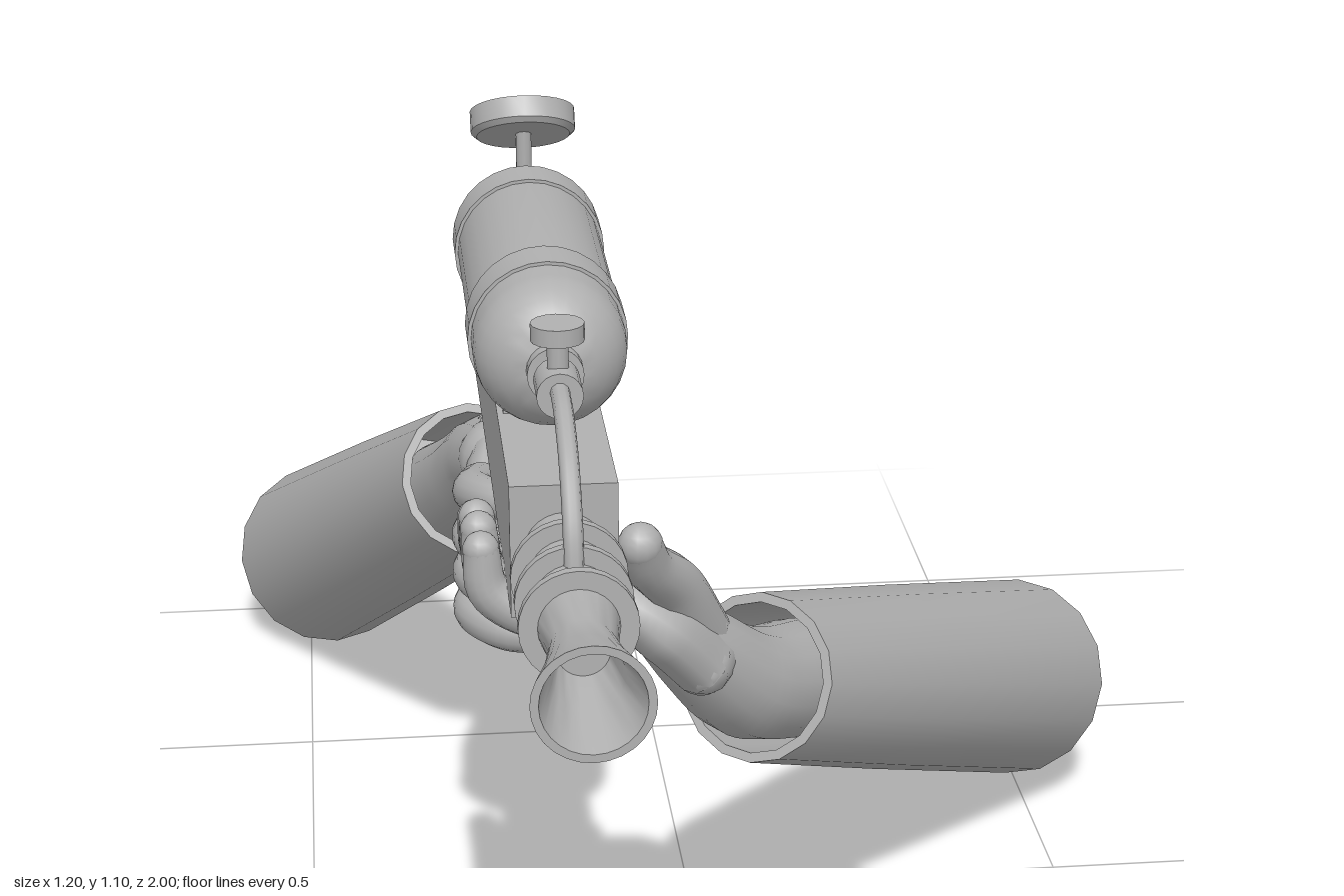
import * as THREE from 'three';
import { mergeGeometries, mergeVertices, toCreasedNormals } from 'three/addons/utils/BufferGeometryUtils.js';

const GUN_X = -0.2;
const V = (x, y, z) => new THREE.Vector3(x, y, z);

export function createModel() {
  const grey = new THREE.MeshStandardMaterial({ color: 0xb0b0b0 });
  grey.name = 'grey';
  const model = new THREE.Group();
  model.name = 'handsHoldingBlaster';

  const group = (name) => {
    const g = new THREE.Group();
    g.name = name;
    model.add(g);
    return g;
  };
  const add = (parent, name, geo, x = 0, y = 0, z = 0) => {
    const m = new THREE.Mesh(geo, grey);
    m.name = name;
    m.position.set(x, y, z);
    parent.add(m);
    return m;
  };
  const lathe = (profile, sides) => toCreasedNormals(
    new THREE.LatheGeometry(profile.map(([r, h]) => new THREE.Vector2(r, h)), sides), 0.6);
  // turned part running along z
  const turned = (profile, sides = 28) => lathe(profile, sides).rotateX(Math.PI / 2);
  const box = (w, h, d) => new THREE.BoxGeometry(w, h, d);
  // side profile in (z, y), extruded across x
  const sideExtrude = (pts, width, bevel) => new THREE.ExtrudeGeometry(
    new THREE.Shape(pts.map(([z, y]) => new THREE.Vector2(z, y))),
    { depth: width - 2 * bevel, bevelSize: bevel, bevelThickness: bevel, bevelOffset: -bevel, bevelSegments: 2 },
  ).translate(0, 0, bevel - width / 2).rotateY(-Math.PI / 2);
  const tube = (pts, r, n = 24) => new THREE.TubeGeometry(
    new THREE.CatmullRomCurve3(pts.map(([z, y]) => V(0, y, z))), n, r, 10);

  // tapered round-ended limb through [x, y, z, radius] points, stretched along one direction
  const limb = (parent, name, pts, dir = null, stretch = 1) => {
    const curve = new THREE.CatmullRomCurve3(pts.map((p) => V(p[0], p[1], p[2])));
    const steps = pts.length * 5, sides = 14;
    const radius = (u) => {
      const f = curve.getUtoTmapping(u) * (pts.length - 1);
      const i = Math.min(Math.floor(f), pts.length - 2);
      return THREE.MathUtils.lerp(pts[i][3], pts[i + 1][3], f - i);
    };
    const pull = (o) => (dir ? o.addScaledVector(dir, o.dot(dir) * (stretch - 1)) : o);
    const shape = (geo, centre, size) => {
      const pos = geo.attributes.position;
      for (let k = 0; k < pos.count; k++) {
        const c = centre(k);
        const o = pull(V(0, 0, 0).fromBufferAttribute(pos, k).sub(c).multiplyScalar(size(k)));
        pos.setXYZ(k, c.x + o.x, c.y + o.y, c.z + o.z);
      }
      geo.deleteAttribute('normal');
      geo.deleteAttribute('uv');
      const out = mergeVertices(geo, 1e-5);
      out.computeVertexNormals();
      return out;
    };
    const u = (k) => Math.floor(k / (sides + 1)) / steps;
    const skin = shape(new THREE.TubeGeometry(curve, steps, 1, sides),
      (k) => curve.getPointAt(u(k)), (k) => radius(u(k)));
    const ends = [0, 1].map((e) => {
      const c = curve.getPointAt(e);
      return shape(new THREE.SphereGeometry(1, 14, 10).translate(c.x, c.y, c.z), () => c, () => radius(e));
    });
    return add(parent, name, mergeGeometries([skin, ...ends]));
  };

  // sleeve: open cuff at the wrist, closed flat end
  const sleeve = (parent, from, to, r0, r1) => {
    const axis = to.clone().sub(from);
    const len = axis.length();
    const m = add(parent, 'sleeve', lathe([
      [0, 0.25], [r0 - 0.008, 0.25], [r0 - 0.012, 0], [r0, 0],
      [r0 + (r1 - r0) * 0.5, len * 0.45], [r1, len], [0, len]], 16), from.x, from.y, from.z);
    m.quaternion.setFromUnitVectors(V(0, 1, 0), axis.normalize());
  };

  // receiver and barrel
  const gun = group('blaster');
  gun.position.x = GUN_X;
  add(gun, 'receiver', box(0.12, 0.155, 0.82), 0, 0.748, 0.19);
  add(gun, 'rearCap', sideExtrude([[-0.215, 0.685], [-0.215, 0.815], [-0.28, 0.815], [-0.28, 0.685]], 0.106, 0.012));
  add(gun, 'barrel', turned([[0, 0.59], [0.045, 0.59], [0.045, 0.8], [0.036, 0.87], [0.046, 0.93],
    [0.064, 1], [0.055, 1], [0.038, 0.93], [0.028, 0.87], [0, 0.87]]), 0, 0.748, 0);
  for (const z of [0.67, 0.74, 0.805]) {
    add(gun, 'barrelRing', turned([[0.03, -0.006], [0.064, -0.006], [0.064, 0.006], [0.03, 0.006]]), 0, 0.748, z);
  }

  // gas tank with straps
  const tankY = 0.915;
  const tankProfile = [];
  for (let i = 0; i <= 8; i++) {
    const a = (i / 8) * Math.PI / 2;
    tankProfile.push([0.088 * Math.sin(a), 0.08 * (1 - Math.cos(a)) - 0.08]);
  }
  for (let i = 8; i >= 0; i--) {
    const a = (i / 8) * Math.PI / 2;
    tankProfile.push([0.088 * Math.sin(a), 0.485 - 0.08 * (1 - Math.cos(a))]);
  }
  add(gun, 'tank', turned(tankProfile), 0, tankY, 0);
  for (const z of [0.34, 0.01]) {
    add(gun, 'strap', turned([[0.08, -0.03], [0.092, -0.03], [0.092, 0.03], [0.08, 0.03]]), 0, tankY, z);
    add(gun, 'strapFoot', box(0.106, 0.05, 0.06), 0, 0.845, z);
  }

  // valve, knob and hose
  add(gun, 'valveNeck', turned([[0, 0.47], [0.032, 0.47], [0.032, 0.497], [0.02, 0.497], [0.02, 0.51],
    [0.026, 0.51], [0.026, 0.565], [0, 0.565]], 20), 0, tankY, 0);
  add(gun, 'valveStem', new THREE.CylinderGeometry(0.012, 0.012, 0.07, 12), 0, 0.95, 0.535);
  add(gun, 'valveKnob', new THREE.CylinderGeometry(0.03, 0.03, 0.02, 16), 0, 0.98, 0.535);
  add(gun, 'hose', tube([[0.56, 0.92], [0.62, 0.915], [0.69, 0.885], [0.735, 0.83], [0.75, 0.77]], 0.011));

  // tilted gauge on a stem
  add(gun, 'gaugeStem', new THREE.CylinderGeometry(0.01, 0.01, 0.07, 10), 0, 1.015, -0.05);
  const gauge = add(gun, 'gauge', lathe([[0, -0.016], [0.058, -0.016], [0.065, -0.01], [0.065, 0.016],
    [0.057, 0.016], [0.055, 0.01], [0, 0.01]], 28), 0, 1.05, -0.062);
  gauge.rotation.x = -0.55;

  // grip, trigger and guard
  add(gun, 'grip', sideExtrude([[0.09, 0.68], [0.075, 0.46], [0.065, 0.43], [-0.055, 0.4], [-0.07, 0.42], [-0.045, 0.68]], 0.08, 0.012));
  add(gun, 'triggerGuard', tube([[0.2, 0.675], [0.195, 0.62], [0.16, 0.577], [0.11, 0.568], [0.06, 0.58]], 0.01));
  add(gun, 'trigger', tube([[0.125, 0.68], [0.12, 0.64], [0.135, 0.605]], 0.009, 10));

  // left arm supporting the receiver from below
  const leftArm = group('leftArm');
  sleeve(leftArm, V(0.05, 0.45, 0.31), V(0.49, 0.165, -0.27), 0.104, 0.137);
  limb(leftArm, 'wrist', [[0.11, 0.41, 0.23, 0.075], [0.03, 0.46, 0.34, 0.068], [-0.03, 0.53, 0.4, 0.056], [-0.07, 0.58, 0.43, 0.046]]);
  limb(leftArm, 'palm', [[-0.03, 0.53, 0.405, 0.044], [-0.08, 0.59, 0.43, 0.046], [-0.13, 0.625, 0.435, 0.036], [-0.18, 0.634, 0.435, 0.028]],
    V(0, 0, 1), 1.75);
  limb(leftArm, 'thumb', [[-0.035, 0.56, 0.41, 0.042], [-0.065, 0.64, 0.46, 0.034], [-0.1, 0.69, 0.51, 0.028], [-0.11, 0.722, 0.53, 0.026]]);
  for (let i = 0; i < 4; i++) {
    const z = 0.36 + i * 0.049;
    const h = [-0.02, 0, 0.005, 0][i];
    limb(leftArm, 'finger', [[-0.15, 0.632, z, 0.028], [-0.23, 0.632, z, 0.027],
      [-0.28, 0.665 + h / 2, z, 0.025], [-0.288, 0.715 + h, z, 0.021]]);
  }

  // right arm holding the grip
  const rightArm = group('rightArm');
  sleeve(rightArm, V(-0.26, 0.49, -0.285), V(-0.47, 0.123, -0.927), 0.105, 0.138);
  limb(rightArm, 'wrist', [[-0.29, 0.43, -0.39, 0.075], [-0.262, 0.5, -0.27, 0.068], [-0.248, 0.56, -0.18, 0.058], [-0.235, 0.59, -0.1, 0.055]]);
  limb(rightArm, 'palm', [[-0.235, 0.59, -0.12, 0.034], [-0.25, 0.56, -0.06, 0.036], [-0.262, 0.53, 0, 0.032], [-0.265, 0.53, 0.03, 0.026]],
    V(0, 1, 0), 2);
  limb(rightArm, 'palmHeel', [[-0.235, 0.55, -0.14, 0.045], [-0.21, 0.5, -0.115, 0.036], [-0.195, 0.465, -0.105, 0.03]]);
  limb(rightArm, 'thumb', [[-0.225, 0.6, -0.15, 0.045], [-0.16, 0.62, -0.08, 0.038], [-0.13, 0.635, 0, 0.028], [-0.13, 0.638, 0.07, 0.023]]);
  limb(rightArm, 'indexFinger', [[-0.265, 0.59, 0, 0.032], [-0.275, 0.615, 0.08, 0.027], [-0.24, 0.63, 0.15, 0.024],
    [-0.195, 0.632, 0.158, 0.022], [-0.16, 0.63, 0.14, 0.02]]);
  for (let i = 0; i < 3; i++) {
    const y = 0.54 - i * 0.055, z = -i * 0.012;
    limb(rightArm, 'finger', [[-0.265, y, z - 0.02, 0.028], [-0.275, y, z + 0.05, 0.029], [-0.235, y - 0.005, z + 0.1, 0.029],
      [-0.17, y - 0.008, z + 0.1, 0.028], [-0.142, y - 0.01, z + 0.06, 0.026], [-0.145, y - 0.01, z + 0.01, 0.022]]);
  }
  return model;
}
